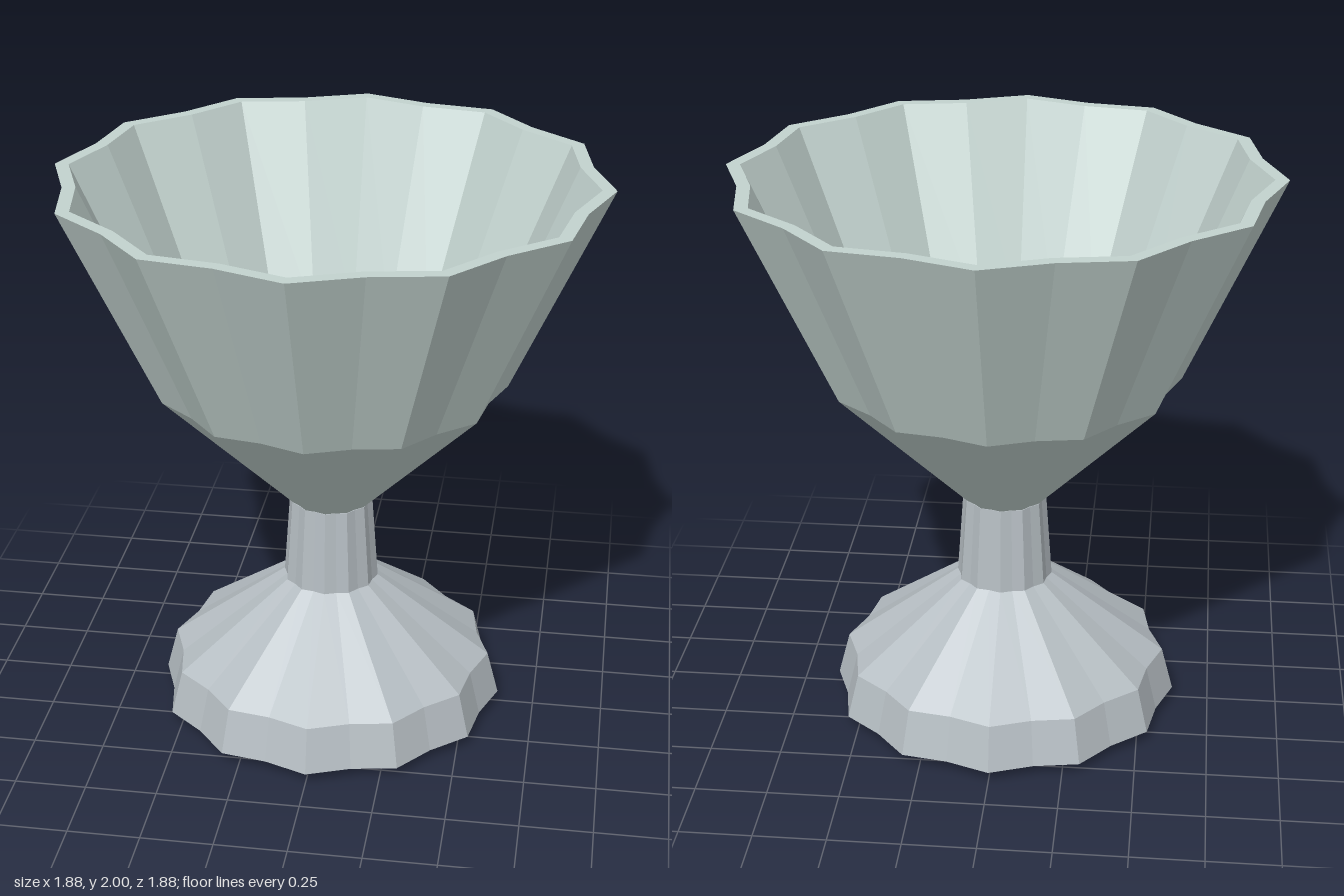
import * as THREE from 'three';

const SIDES = 24; // 12 ridges alternating with 12 grooves
const GROOVE = 0.942; // groove radius relative to ridge radius

// Lathe a profile of [radius, y], then pull every second column in to flute it
function flutedLathe(name, profile, color) {
  const points = profile.map(([r, y]) => new THREE.Vector2(r, y));
  const lathe = new THREE.LatheGeometry(points, SIDES);
  const pos = lathe.attributes.position;
  for (let i = 0; i < pos.count; i++) {
    const column = Math.floor(i / points.length);
    const k = column % 2 ? GROOVE : 1;
    pos.setXYZ(i, pos.getX(i) * k, pos.getY(i), pos.getZ(i) * k);
  }
  const geometry = lathe.toNonIndexed();
  geometry.computeVertexNormals();
  const mesh = new THREE.Mesh(geometry, new THREE.MeshStandardMaterial({ color, flatShading: true }));
  mesh.name = name;
  return mesh;
}

export function createModel() {
  const goblet = new THREE.Group();
  goblet.name = 'goblet';

  // Foot and stem: shallow pointed underside, flared foot, tapering stem, flat top
  goblet.add(flutedLathe('footAndStem', [
    [0, 0], [0.62, 0.04], [0.578, 0.2], [0.17, 0.5], [0.148, 0.81], [0, 0.81],
  ], 0xb6bec3));

  // Bowl: outer wall up to the rim, then the inner wall back down to the stem top
  goblet.add(flutedLathe('bowl', [
    [0.145, 0.81], [0.612, 1.28], [0.94, 2], [0.892, 2], [0.565, 1.28], [0.095, 0.81],
  ], 0xc2d2ce));

  return goblet;
}
